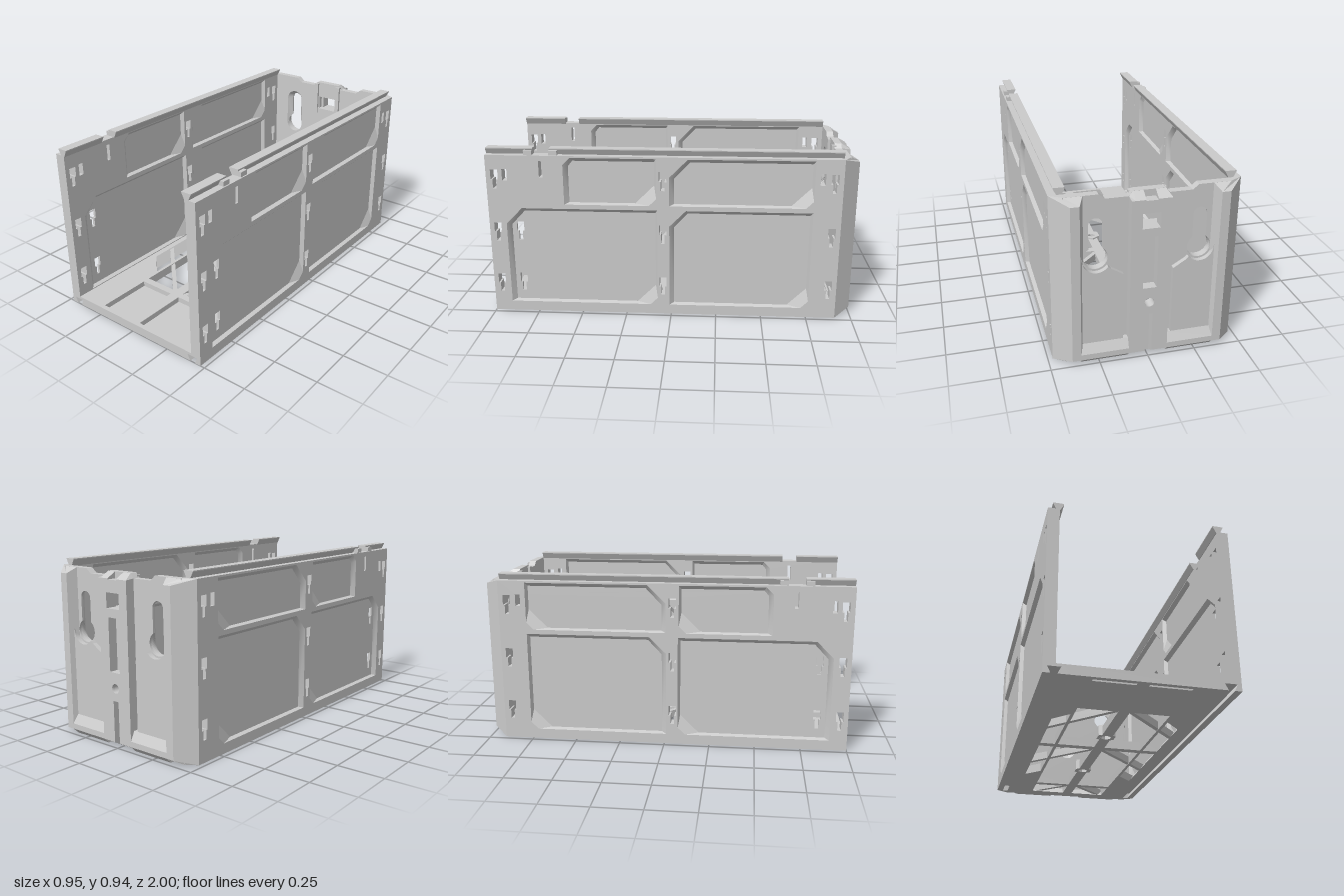
import * as THREE from 'three';
import { toCreasedNormals } from 'three/addons/utils/BufferGeometryUtils.js';

const grey = new THREE.MeshStandardMaterial({ color: 0xcccccc });
const greyThin = new THREE.MeshStandardMaterial({ color: 0xcccccc, side: THREE.DoubleSide });

const poly = (pts) => pts.map(([a, b]) => new THREE.Vector2(a, b));
const rect = (a0, a1, b0, b1) => poly([[a0, b0], [a1, b0], [a1, b1], [a0, b1]]);
const circle = (x, y, r) => new THREE.Path().absarc(x, y, r, 0, Math.PI * 2).getPoints(16);

// Flat outline with holes, given thickness
function extrude(outline, holes, depth) {
  const s = new THREE.Shape(outline);
  s.holes = holes.map((h) => new THREE.Path(h));
  return new THREE.ExtrudeGeometry(s, { depth, bevelEnabled: false });
}
// Outline in (x, y), from z0 to z1
const alongZ = (o, h, z0, z1) => extrude(o, h, z1 - z0).translate(0, 0, z0);
// Outline in (z, y), from x0 to x1
const alongX = (o, h, x0, x1) => extrude(o, h, x1 - x0).rotateY(-Math.PI / 2).translate(x1, 0, 0);
// Outline in (x, z), from y0 to y1
const alongY = (o, h, y0, y1) => extrude(o, h, y1 - y0).rotateX(Math.PI / 2).translate(0, y1, 0);

// Sloped band between two outlines with equal point counts
function loft(P, Q, place, p, q) {
  const v = [];
  for (let i = 0; i < P.length; i++) {
    const j = (i + 1) % P.length;
    const [a, b, c, d] = [place(P[i], p), place(P[j], p), place(Q[j], q), place(Q[i], q)];
    v.push(...a, ...b, ...c, ...a, ...c, ...d);
  }
  const g = new THREE.BufferGeometry();
  g.setAttribute('position', new THREE.Float32BufferAttribute(v, 3));
  g.computeVertexNormals();
  return toCreasedNormals(g, 0.6);
}
const onSide = (pt, d) => [d, pt.y, pt.x];
const onBack = (pt, d) => [pt.x, pt.y, d];

function add(parent, name, geometry, material = grey) {
  const m = new THREE.Mesh(geometry, material);
  m.name = name;
  parent.add(m);
}
function addBox(parent, name, x0, x1, y0, y1, z0, z1) {
  add(parent, name, new THREE.BoxGeometry(x1 - x0, y1 - y0, z1 - z0)
    .translate((x0 + x1) / 2, (y0 + y1) / 2, (z0 + z1) / 2));
}

// Stepped hook slot in the side walls
const hookSlot = (z, y) => poly([[z - 0.01, y - 0.05], [z + 0.01, y - 0.05], [z + 0.01, y],
  [z + 0.02, y], [z + 0.02, y + 0.055], [z - 0.02, y + 0.055], [z - 0.02, y], [z - 0.01, y]]);

// Recessed panel: rim outline and smaller bottom outline
const panel = (zf, zr, y0, y1, c) => ({
  rim: poly([[zf, y0], [zr + 0.04, y0], [zr, y0 + 0.04], [zr, y1], [zf - c, y1], [zf, y1 - c]]),
  bed: poly([[zf - 0.025, y0 + 0.008], [zr + 0.115, y0 + 0.008], [zr + 0.012, y0 + 0.11],
    [zr + 0.012, y1 - 0.02], [zf - c - 0.01, y1 - 0.02], [zf - 0.025, y1 - c - 0.01]]),
});

// Keyhole: slot of half width w rising from a round opening
function keyhole(x, w, top) {
  const r = 0.06, s = Math.asin(Math.min(1, w / r)), p = new THREE.Path();
  p.absarc(x, 0.575, r, Math.PI / 2 + s, Math.PI * 2.5 - s);
  p.absarc(x, top - w, w, 0, Math.PI);
  return p.getPoints(20);
}

// Pull the corners of the outermost face in at top and bottom
function chamferEnds(g) {
  const p = g.attributes.position;
  for (let i = 0; i < p.count; i++)
    if (p.getZ(i) < -0.99) p.setY(i, THREE.MathUtils.clamp(p.getY(i), 0.03, 0.875));
  g.computeVertexNormals();
  return g;
}

function sideWall() {
  const g = new THREE.Group();
  const panels = [panel(0.905, 0.075, 0.055, 0.61, 0.09), panel(0.01, -0.76, 0.055, 0.61, 0.09),
    panel(0.58, 0.08, 0.635, 0.895, 0.04), panel(0.01, -0.76, 0.635, 0.895, 0.1)];
  const slots = [rect(0.69, 0.71, 0.785, 0.875), rect(0.885, 0.912, 0.765, 0.83), rect(-0.815, -0.788, 0.765, 0.83)];
  for (const z of [0.955, 0.045, -0.865])
    for (const y of [0.165, 0.47, 0.77]) slots.push(hookSlot(z, y));
  const bedSlots = [hookSlot(0.835, 0.165), hookSlot(0.835, 0.47)];
  const outline = rect(-0.91, 1, 0.05, 0.905), rims = panels.map((p) => p.rim);
  add(g, 'wallOuterSkin', alongX(outline, [...rims, ...slots], 0.453, 0.475));
  add(g, 'wallWeb', alongX(outline, [...slots, ...bedSlots], 0.437, 0.453));
  add(g, 'wallInnerSkin', alongX(outline, [...rims, ...slots], 0.415, 0.437));
  for (const { rim, bed } of panels) {
    add(g, 'outerPanelBevel', loft(rim, bed, onSide, 0.475, 0.4535), greyThin);
    add(g, 'innerPanelBevel', loft(rim, bed, onSide, 0.415, 0.4365), greyThin);
  }
  // Dovetail rail on top, matching groove below
  const rail = poly([[0.412, 0.9], [0.432, 0.9], [0.45, 0.935], [0.45, 0.94], [0.394, 0.94], [0.394, 0.935]]);
  add(g, 'frontRail', alongZ(rail, [], 0.745, 1));
  add(g, 'rearRail', alongZ(rail, [], -0.91, 0.655));
  addBox(g, 'railStop', 0.43, 0.468, 0.9, 0.93, 0.745, 0.79);
  addBox(g, 'railStop', 0.43, 0.468, 0.9, 0.93, 0.61, 0.655);
  add(g, 'grooveRunner', alongZ(poly([[0.34, 0], [0.407, 0], [0.39, 0.035], [0.455, 0.035],
    [0.438, 0], [0.475, 0], [0.475, 0.05], [0.38, 0.05]]), [], -0.91, 1));
  return g;
}

function floorFrame() {
  const g = new THREE.Group();
  const holes = [];
  for (const s of [1, -1]) {
    for (const [z0, z1] of [[-0.9, -0.71], [-0.67, 0.045], [0.09, 0.63], [0.67, 0.975]])
      holes.push(rect(s * 0.03, s * 0.24, z0, z1));
    holes.push(poly([[s * 0.38, -0.545], [s * 0.257, -0.42], [s * 0.257, 0.045], [s * 0.38, 0.045]]));
    holes.push(poly([[s * 0.38, 0.09], [s * 0.257, 0.09], [s * 0.257, 0.545], [s * 0.38, 0.42]]));
    // Diagonal braces and front tray
    for (const [x0, z0, x1, z1] of [[0.02, 0.04, 0.375, -0.305], [0.02, 0.64, 0.375, 0.285], [0.02, -0.7, 0.25, -0.92]])
      add(g, 'diagonalBrace', alongY(poly([[s * x0, z0 - 0.017], [s * x1, z1 - 0.017],
        [s * x1, z1 + 0.017], [s * x0, z0 + 0.017]]), [], 0.004, 0.046));
    addBox(g, 'frontTray', Math.min(s * 0.03, s * 0.24), Math.max(s * 0.03, s * 0.24), 0, 0.02, 0.665, 0.958);
  }
  // Hexagonal bosses on the centre rib
  for (const z of [-0.36, 0.25]) {
    const hex = (r) => poly([...Array(6).keys()].map((i) =>
      [r * Math.sin(i * Math.PI / 3), z + r * Math.cos(i * Math.PI / 3)]));
    holes.push(hex(0.029));
    add(g, 'boss', alongY(hex(0.055), [hex(0.029)], -0.0 + 0.001, 0.06));
  }
  add(g, 'floorPlate', alongY(rect(-0.385, 0.385, -0.92, 1), holes, 0, 0.05));
  add(g, 'rearFillet', alongX(poly([[-0.92, 0], [-0.87, 0], [-0.91, 0.05]]), [], -0.24, 0.24));
  return g;
}

function backWall() {
  const g = new THREE.Group();
  const half = [[0.08, 0.905], [0.1, 0.88], [0.215, 0.88], [0.245, 0.905], [0.415, 0.905], [0.415, 0]];
  const outline = poly([...half, ...half.map(([x, y]) => [-x, y]).reverse()]);
  const wide = [keyhole(0.26, 0.0595, 0.805), keyhole(-0.26, 0.0595, 0.805), circle(0, 0.317, 0.054)];
  const tight = [keyhole(0.26, 0.035, 0.785), keyhole(-0.26, 0.035, 0.785), circle(0, 0.317, 0.025)];
  add(g, 'backPlateInner', alongZ(outline, [...wide, rect(-0.06, 0.06, 0.725, 0.805)], -0.938, -0.91));
  add(g, 'backPlateOuter', alongZ(outline, [...tight, rect(-0.045, 0.045, 0.725, 0.805)], -0.95, -0.938));
  wide.forEach((w, i) => add(g, i < 2 ? 'keyholeBevel' : 'countersink',
    loft(w, tight[i], onBack, -0.91, -0.938), greyThin));
  // Latch frame around the window
  for (const s of [1, -1])
    addBox(g, 'latchCheek', s * 0.0815 - 0.0135, s * 0.0815 + 0.0135, 0.69, 0.895, -0.92, -0.895);
  addBox(g, 'latchSill', -0.07, 0.07, 0.69, 0.725, -0.92, -0.9);
  addBox(g, 'latchLip', -0.035, 0.035, 0.68, 0.69, -0.92, -0.9);
  // Central pillar with its pockets
  add(g, 'centrePillar', chamferEnds(alongZ(
    poly([[-0.1, 0], [-0.018, 0], [-0.018, 0.25], [0.018, 0.25], [0.018, 0], [0.1, 0], [0.1, 0.88],
      [0.08, 0.905], [0.03, 0.905], [0.03, 0.87], [-0.03, 0.87], [-0.03, 0.905], [-0.08, 0.905], [-0.1, 0.88]]),
    [rect(-0.045, 0.045, 0.725, 0.805), rect(-0.035, 0.035, 0.4, 0.68), circle(0, 0.317, 0.025)], -1, -0.949)));
  // Corner columns, bay cushions and sills, mirrored
  for (const s of [1, -1]) {
    const half = new THREE.Group();
    half.scale.x = s;
    add(half, 'cornerColumn', chamferEnds(alongY(poly([[0.41, -0.91], [0.475, -0.91], [0.39, -1],
      [0.345, -1], [0.32, -0.949], [0.41, -0.949]]), [], 0, 0.905)));
    const lip = new THREE.Shape();
    lip.moveTo(0.125, 0.05).lineTo(0.125, 0.48).lineTo(0.19, 0.52);
    lip.absarc(0.26, 0.575, 0.07, Math.PI * 1.2, Math.PI * 2);
    lip.lineTo(0.335, 0.6).lineTo(0.335, 0.05);
    add(half, 'bayCushion', alongZ(lip.getPoints(12), [], -0.975, -0.949));
    add(half, 'baySill', alongX(poly([[-0.949, 0], [-0.97, 0], [-1, 0.03], [-1, 0.06], [-0.975, 0.11], [-0.949, 0.11]]),
      [], 0.1, 0.345));
    g.add(half);
  }
  return g;
}

export function createModel() {
  const model = new THREE.Group();
  const left = sideWall(), right = sideWall();
  left.name = 'leftWall';
  right.name = 'rightWall';
  right.scale.x = -1;
  const base = floorFrame(), back = backWall();
  base.name = 'floor';
  back.name = 'backWall';
  model.add(left, right, base, back);
  return model;
}
